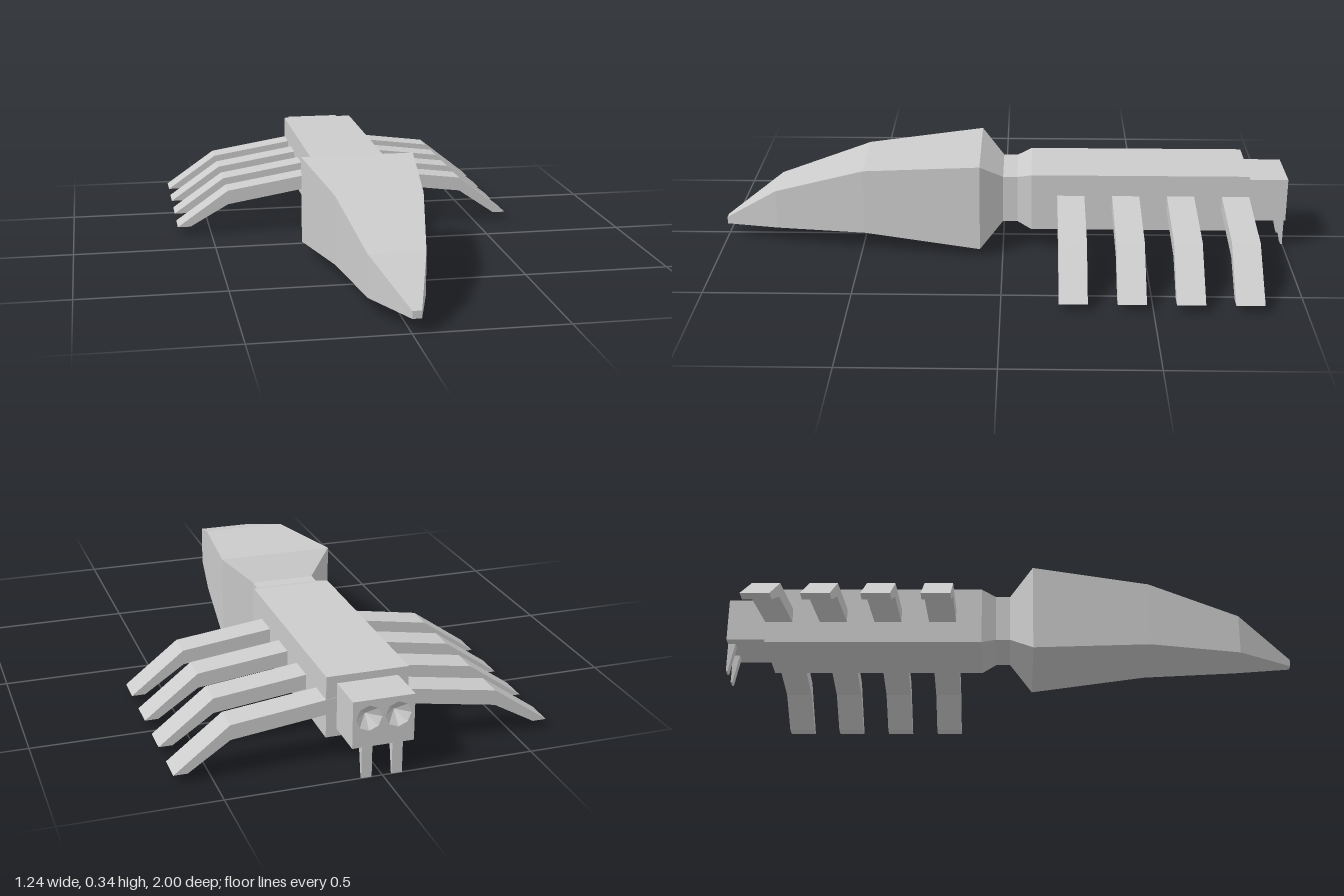
import * as THREE from 'three';

const grey = new THREE.MeshStandardMaterial({ color: 0xcccccc, flatShading: true });
const bowlGrey = new THREE.MeshStandardMaterial({ color: 0xcccccc, flatShading: true, side: THREE.DoubleSide });

// Closed skin over rectangular sections [z, xMin, xMax, yMin, yMax], listed from +z to -z
function loft(sections) {
  const rings = sections.map(([z, x0, x1, y0, y1]) => [[x0, y0, z], [x1, y0, z], [x1, y1, z], [x0, y1, z]]);
  const pos = [];
  const quad = (a, b, c, d) => pos.push(...a, ...b, ...c, ...a, ...c, ...d);
  for (let i = 0; i < rings.length - 1; i++) {
    const p = rings[i], q = rings[i + 1];
    for (let k = 0; k < 4; k++) {
      const n = (k + 1) % 4;
      quad(p[k], q[k], q[n], p[n]);
    }
  }
  quad(...rings[0]);
  quad(...[...rings[rings.length - 1]].reverse());
  const g = new THREE.BufferGeometry();
  g.setAttribute('position', new THREE.Float32BufferAttribute(pos, 3));
  g.computeVertexNormals();
  return g;
}

// Outline in the xy plane, extruded from z to z + depth
function slab(shape, z, depth) {
  return new THREE.ExtrudeGeometry(shape, { depth, bevelEnabled: false }).translate(0, 0, z);
}

const outline = (pts) => new THREE.Shape(pts.map(([x, y]) => new THREE.Vector2(x, y)));

export function createModel() {
  const model = new THREE.Group();
  const add = (name, geometry, material = grey) => {
    const mesh = new THREE.Mesh(geometry, material);
    mesh.name = name;
    model.add(mesh);
  };

  // Long pointed abdomen
  add('abdomen', loft([
    [1.0, 0.0, 0.03, 0.047, 0.072],
    [0.81, -0.1, 0.085, 0.056, 0.197],
    [0.49, -0.147, 0.147, 0.066, 0.3],
    [0.08, -0.2, 0.2, 0.03, 0.338],
    [0.0, -0.11, 0.11, 0.1, 0.268],
  ]));

  // Waist flaring into the box-shaped thorax
  add('thorax', loft([
    [0.0, -0.11, 0.11, 0.1, 0.268],
    [-0.05, -0.11, 0.11, 0.1, 0.268],
    [-0.1, -0.135, 0.135, 0.08, 0.285],
    [-0.86, -0.135, 0.135, 0.08, 0.285],
  ]));

  // Head with a face plate pierced by two eye sockets
  const eyeX = 0.047, eyeY = 0.2, eyeR = 0.042, socket = 0.04;
  add('head', loft([
    [-0.85, -0.1, 0.1, 0.105, 0.26],
    [-1 + socket, -0.1, 0.1, 0.105, 0.26],
  ]));
  const face = outline([[-0.1, 0.105], [0.1, 0.105], [0.1, 0.26], [-0.1, 0.26]]);
  for (const s of [-1, 1]) {
    const hole = new THREE.Path();
    for (let i = 0; i < 8; i++) {
      const a = -i * Math.PI / 4;
      const x = s * eyeX + eyeR * Math.cos(a), y = eyeY + eyeR * Math.sin(a);
      if (i) hole.lineTo(x, y); else hole.moveTo(x, y);
    }
    hole.closePath();
    face.holes.push(hole);
    // Sunken eye, deepest at its centre
    const eye = new THREE.ConeGeometry(eyeR, socket - 0.002, 8, 1, true);
    eye.rotateY(Math.PI / 2).rotateX(Math.PI / 2).translate(s * eyeX, eyeY, -1 + socket / 2);
    add(s > 0 ? 'leftEye' : 'rightEye', eye, bowlGrey);
  }
  add('face', slab(face, -1, socket));

  // Fangs tapering to a thin edge
  for (const [name, x] of [['leftFang', 0.052], ['rightFang', -0.047]]) {
    const fang = new THREE.BoxGeometry(0.034, 0.106, 0.026).translate(x, 0.053, -0.987);
    const p = fang.attributes.position;
    for (let i = 0; i < p.count; i++) {
      if (p.getY(i) < 0.05 && p.getZ(i) > -0.99) p.setZ(i, -0.994);
    }
    fang.computeVertexNormals();
    add(name, fang);
  }

  // Four pairs of bent legs
  const leftLeg = outline([[0.1, 0.163], [0.44, 0.12], [0.575, 0.028], [0.62, 0.028], [0.44, 0.17], [0.1, 0.213]]);
  const rightLeg = outline([[-0.1, 0.163], [-0.1, 0.213], [-0.435, 0.158], [-0.622, 0.028], [-0.575, 0.028], [-0.435, 0.107]]);
  for (let i = 0; i < 4; i++) {
    const z = -0.285 - i * 0.192;
    add('leftLeg' + (i + 1), slab(leftLeg, z, 0.095));
    add('rightLeg' + (i + 1), slab(rightLeg, z, 0.095));
  }

  return model;
}
